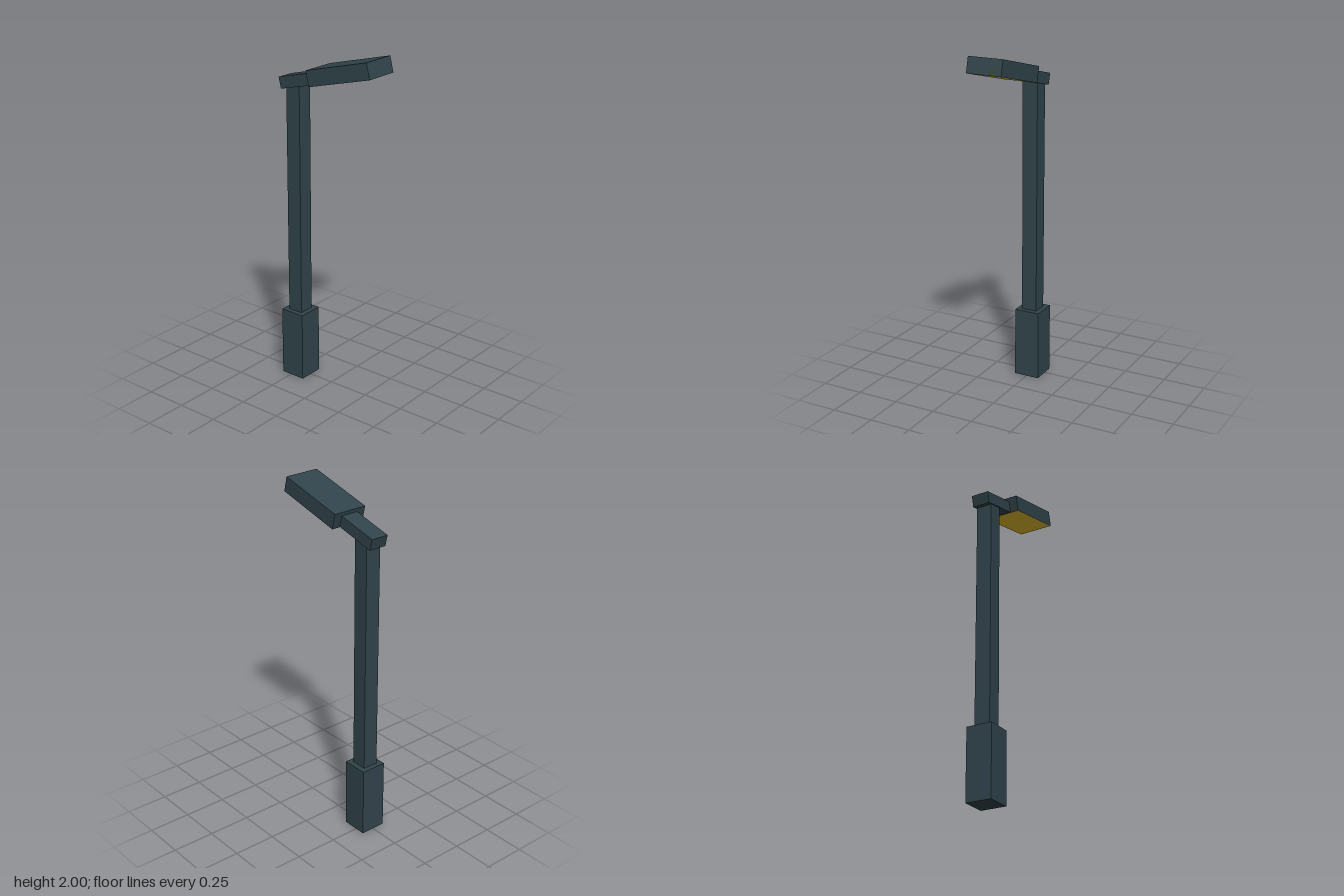
import * as THREE from 'three';

export function createModel() {
  const group = new THREE.Group();
  const slate = new THREE.MeshStandardMaterial({ color: 0x30444b });
  slate.name = 'slate grey';
  const yellow = new THREE.MeshStandardMaterial({ color: 0xf0c82e });
  yellow.name = 'lens yellow';

  const addBox = (parent, name, size, position, material = slate) => {
    const mesh = new THREE.Mesh(new THREE.BoxGeometry(...size), material);
    mesh.name = name;
    mesh.position.set(...position);
    parent.add(mesh);
    return mesh;
  };

  // Upright post on a thicker foot
  const postZ = -0.235;
  addBox(group, 'base', [0.153, 0.416, 0.153], [0, 0.208, postZ]);
  addBox(group, 'pole', [0.093, 1.38, 0.093], [0, 1.1, postZ]);

  // Lamp assembly, tilted up toward the front
  const lamp = new THREE.Group();
  lamp.name = 'lamp';
  lamp.position.set(0, 1.906, 0.119);
  lamp.rotation.x = -THREE.MathUtils.degToRad(14.3);
  group.add(lamp);

  // Head box with its underside face (group 3) as the lens
  const faces = [slate, slate, slate, yellow, slate, slate];
  addBox(lamp, 'lampHead', [0.208, 0.091, 0.419], [0, 0, 0], faces);

  // Short arm joining the head to the pole
  addBox(lamp, 'arm', [0.106, 0.067, 0.262], [0, -0.01, -0.327]);

  return group;
}
